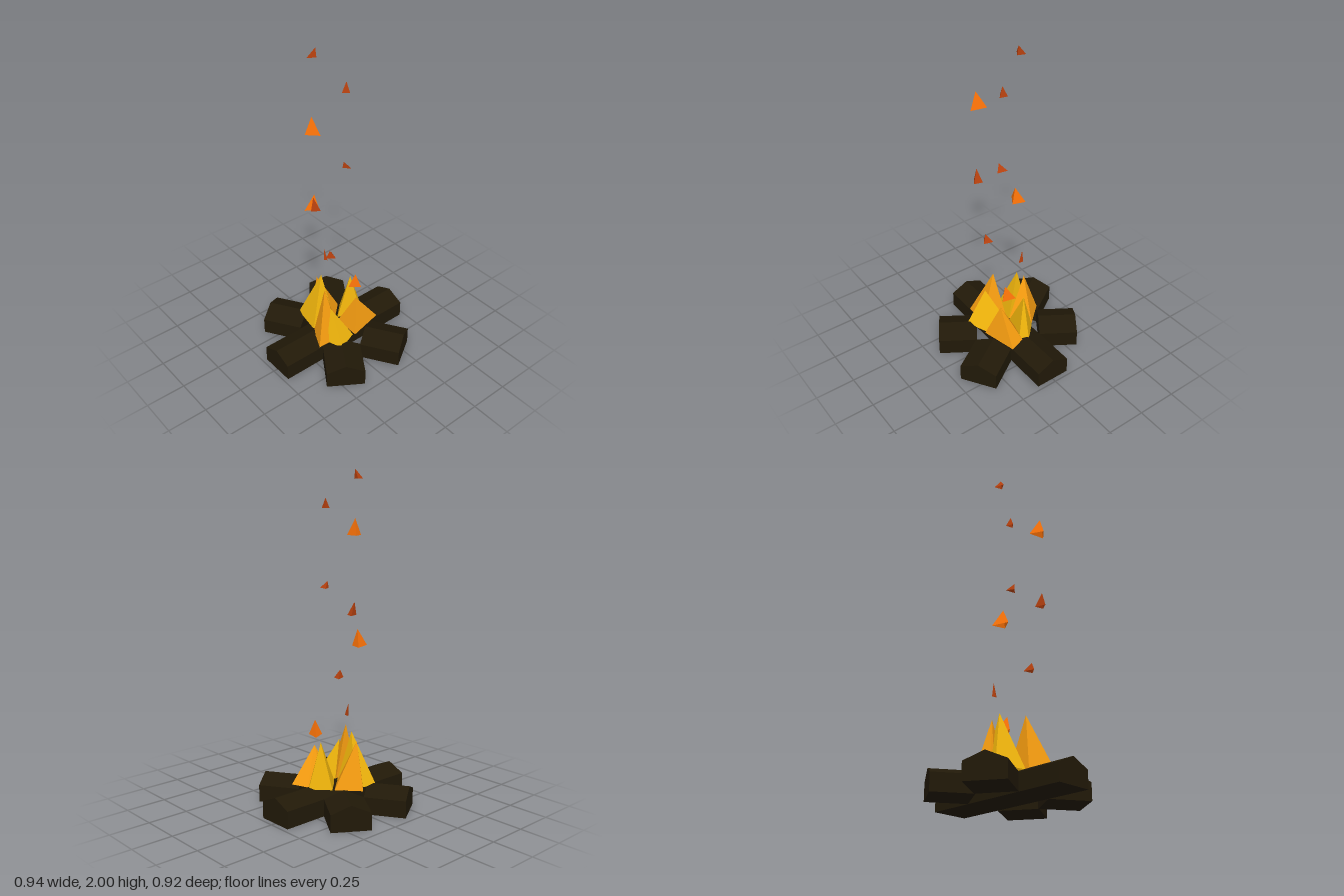
import * as THREE from 'three';

const paint = (color) => new THREE.MeshStandardMaterial({ color, flatShading: true, side: THREE.DoubleSide });
const bark = paint(0x211908);
const yellow = paint(0xf2b60c);
const orange = paint(0xf59c10);
const emberBright = paint(0xfa7208);
const emberDark = paint(0xb5400e);

// Log with a flat underside and a ridge on top, running along +z from its start
function log(name, width, length) {
  const w = width / 2;
  const section = new THREE.Shape([[-w, 0], [w, 0], [w, 0.105], [0, 0.155], [-w, 0.105]]
    .map(([x, y]) => new THREE.Vector2(x, y)));
  const geometry = new THREE.ExtrudeGeometry(section, { depth: length, bevelEnabled: false });
  const mesh = new THREE.Mesh(geometry, bark);
  mesh.name = name;
  return mesh;
}

// Faceted spike, open underneath: base outline [x, z] at one height, rising to an apex
function spike(name, outline, baseY, apex, material) {
  const base = outline.map(([x, z]) => [x, baseY, z]);
  const corners = base.flatMap((p, i) => [p, base[(i + 1) % base.length], apex]);
  const geometry = new THREE.BufferGeometry();
  geometry.setAttribute('position', new THREE.Float32BufferAttribute(corners.flat(), 3));
  geometry.computeVertexNormals();
  const mesh = new THREE.Mesh(geometry, material);
  mesh.name = name;
  return mesh;
}

export function createModel() {
  const model = new THREE.Group();
  model.name = 'campfire';

  // One long log across the middle
  const logs = new THREE.Group();
  logs.name = 'logs';
  const longLog = log('longLog', 0.224, 0.944);
  longLog.rotation.y = Math.PI / 2;
  longLog.position.x = -0.472;
  logs.add(longLog);

  // Four short logs fanned around it; opposite ones match
  for (const sx of [-1, 1]) {
    for (const sz of [-1, 1]) {
      const [startZ, angle, length] = sx === sz ? [0.181, 0.568, 0.253] : [0.176, 0.578, 0.242];
      const shortLog = log('shortLog', 0.236, length);
      shortLog.position.set(sx * 0.097, 0, sz * startZ);
      shortLog.rotation.y = Math.atan2(sx * Math.sin(angle), sz * Math.cos(angle));
      logs.add(shortLog);
    }
  }
  model.add(logs);

  // Flames: apex, material, base outline
  const flames = new THREE.Group();
  flames.name = 'flames';
  const flameList = [
    [[-0.035, 0.47, -0.10], yellow, [[-0.16, -0.025], [0, -0.01], [0, -0.17], [-0.05, -0.19], [-0.128, -0.22]]],
    [[-0.03, 0.42, -0.152], orange, [[-0.06, -0.16], [0, -0.01], [0.112, -0.112], [0, -0.239], [-0.05, -0.185]]],
    [[0.14, 0.42, -0.022], yellow, [[0.01, 0], [0.18, 0.04], [0.222, -0.005], [0.122, -0.104]]],
    [[0.075, 0.36, 0.108], orange, [[0.01, 0.01], [0.01, 0.183], [0.236, 0.132], [0.2, 0.03], [0.1, 0]]],
    [[-0.112, 0.47, 0.03], orange, [[-0.17, -0.01], [-0.237, 0.132], [-0.08, 0.14], [0, 0]]],
    [[-0.115, 0.36, 0.092], yellow, [[-0.168, 0.12], [-0.132, 0.224], [0, 0.173], [0, 0.005]]],
  ];
  for (const [apex, material, outline] of flameList) {
    flames.add(spike('flame', outline, 0.14, apex, material));
  }
  model.add(flames);

  // Rising embers: centre x, base y, centre z, width, height, depth, apex shift x and z, material
  const embers = new THREE.Group();
  embers.name = 'embers';
  const emberList = [
    [-0.063, 1.945, -0.125, 0.06, 0.055, 0.048, 0.015, 0.015, emberDark],
    [0.025, 1.78, 0.055, 0.046, 0.06, 0.047, 0.005, 0, emberDark],
    [-0.215, 1.615, 0.062, 0.08, 0.1, 0.1, 0, 0, emberBright],
    [0.025, 1.317, 0.065, 0.046, 0.04, 0.064, -0.019, 0, emberDark],
    [-0.207, 1.13, 0.077, 0.062, 0.082, 0.052, -0.01, -0.01, emberDark],
    [-0.082, 0.985, -0.12, 0.1, 0.1, 0.08, 0.01, 0.01, emberBright],
    [-0.105, 0.753, 0.083, 0.062, 0.049, 0.058, -0.008, 0, emberDark],
    [0, 0.575, -0.1, 0.018, 0.08, 0.032, 0, -0.013, emberDark],
    [0.09, 0.433, 0.075, 0.08, 0.092, 0.087, 0, 0.01, emberBright],
  ];
  for (const [x, y, z, w, h, d, ax, az, material] of emberList) {
    const outline = [[x - w / 2, z - d * 0.1], [x + w * 0.25, z + d / 2], [x + w / 2, z - d / 2]];
    embers.add(spike('ember', outline, y, [x + ax, y + h, z + az], material));
  }
  model.add(embers);

  return model;
}
